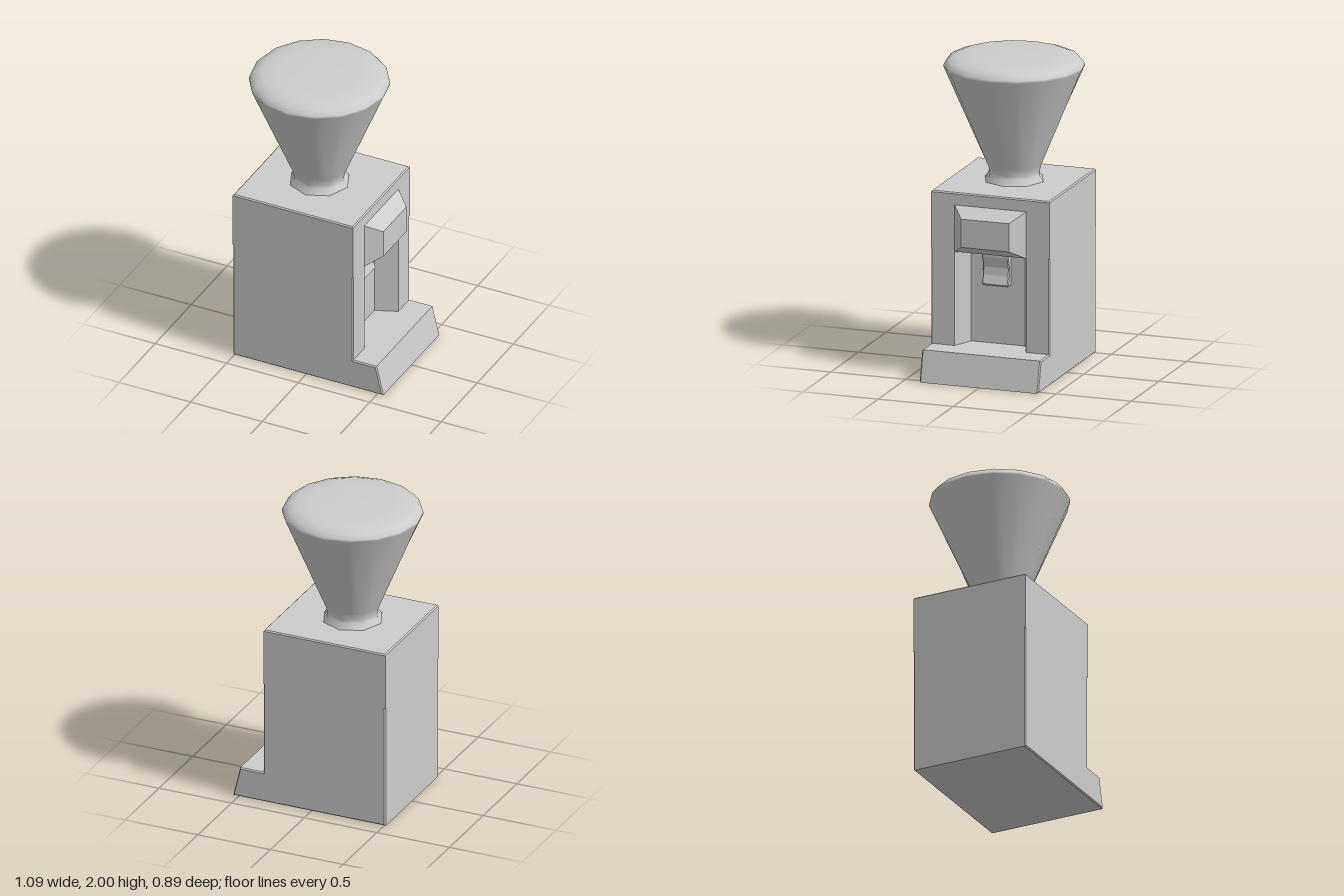
import * as THREE from 'three';
import { ConvexGeometry } from 'three/addons/geometries/ConvexGeometry.js';

const BEVEL = 0.008;
const BACK = -0.51, FACE = 0.33, HALF = 0.395; // body extents
const material = new THREE.MeshStandardMaterial({ color: 0xcccccc });

function part(name, geometry) {
  const mesh = new THREE.Mesh(geometry, material);
  mesh.name = name;
  return mesh;
}

function outline(points) {
  return new THREE.Shape(points.map(([x, y]) => new THREE.Vector2(x, y)));
}

// Extrudes an outline in (x, z) upwards from y0 to y1
function extrudeUp(points, y0, y1, bevel = 0) {
  return new THREE.ExtrudeGeometry(outline(points), {
    depth: y1 - y0 - 2 * bevel, bevelEnabled: bevel > 0,
    bevelSize: bevel, bevelThickness: bevel, bevelOffset: -bevel, bevelSegments: 1,
  }).rotateX(-Math.PI / 2).translate(0, y0 + bevel, 0);
}

// Extrudes a side profile in (x, y) across the given width, centred on z
function extrudeAcross(points, width, bevel) {
  return new THREE.ExtrudeGeometry(outline(points), {
    depth: width - 2 * bevel, bevelEnabled: true,
    bevelSize: bevel, bevelThickness: bevel, bevelOffset: -bevel, bevelSegments: 1,
  }).translate(0, 0, -width / 2 + bevel);
}

export function createModel() {
  const model = new THREE.Group();
  model.name = 'coffeeGrinder';

  // Base with sloping drip tray
  model.add(part('base', extrudeAcross(
    [[BACK, 0], [0.54, 0], [0.492, 0.2], [BACK, 0.2]], 2 * HALF, BEVEL)));

  // Middle of the body: a plan with a tapering alcove cut into its face
  const halfPlan = [
    [BACK, HALF - BEVEL], [BACK + BEVEL, HALF], [FACE - BEVEL, HALF],
    [FACE, HALF - BEVEL], [FACE, 0.237], [0.19, 0.18],
  ];
  const mirrored = halfPlan.map(([x, z]) => [x, -z]).reverse();
  model.add(part('alcoveBody', extrudeUp([...halfPlan, ...mirrored], 0.185, 0.83)));

  // Closed upper block
  model.add(part('upperBody', extrudeUp(
    [[BACK, -HALF], [FACE, -HALF], [FACE, HALF], [BACK, HALF]], 0.81, 1.19, BEVEL)));

  // Chamfered hood above the alcove
  const hoodPoints = [];
  for (const [x, z, bottom, top] of [
    [0.31, 0.237, 0.808, 1.11], [FACE, 0.237, 0.808, 1.11], [0.425, 0.16, 0.867, 1.05],
  ]) {
    for (const side of [-1, 1]) {
      hoodPoints.push(new THREE.Vector3(x, bottom, side * z), new THREE.Vector3(x, top, side * z));
    }
  }
  model.add(part('hood', new ConvexGeometry(hoodPoints)));

  // Chute with a hollowed front, hanging against the alcove wall
  model.add(part('chute', extrudeAcross([
    [0.18, 0.582], [0.235, 0.582], [0.248, 0.595], [0.23, 0.65],
    [0.226, 0.7], [0.248, 0.77], [0.25, 0.82], [0.18, 0.82],
  ], 0.175, 0.006)));

  // Hopper with its lid: sixteen sides, easing to eight at the neck
  const profile = [
    [0.197, 1.18], [0.192, 1.195], [0.17, 1.225], [0.168, 1.25], [0.178, 1.295],
    [0.443, 1.925], [0.44, 1.94], [0.415, 1.97], [0.36, 1.99], [0.26, 1.998], [0, 2],
  ].map(([r, y]) => new THREE.Vector2(r, y));
  const hopper = new THREE.LatheGeometry(profile, 16);
  const position = hopper.attributes.position;
  for (let i = 0; i < position.count; i++) {
    const column = Math.floor(i / profile.length);
    if (column % 2 === 1 && position.getY(i) < 1.3) {
      const k = Math.cos(Math.PI / 8);
      position.setX(i, position.getX(i) * k);
      position.setZ(i, position.getZ(i) * k);
    }
  }
  hopper.translate(-0.102, 0, 0);
  model.add(part('hopper', hopper));

  return model;
}
